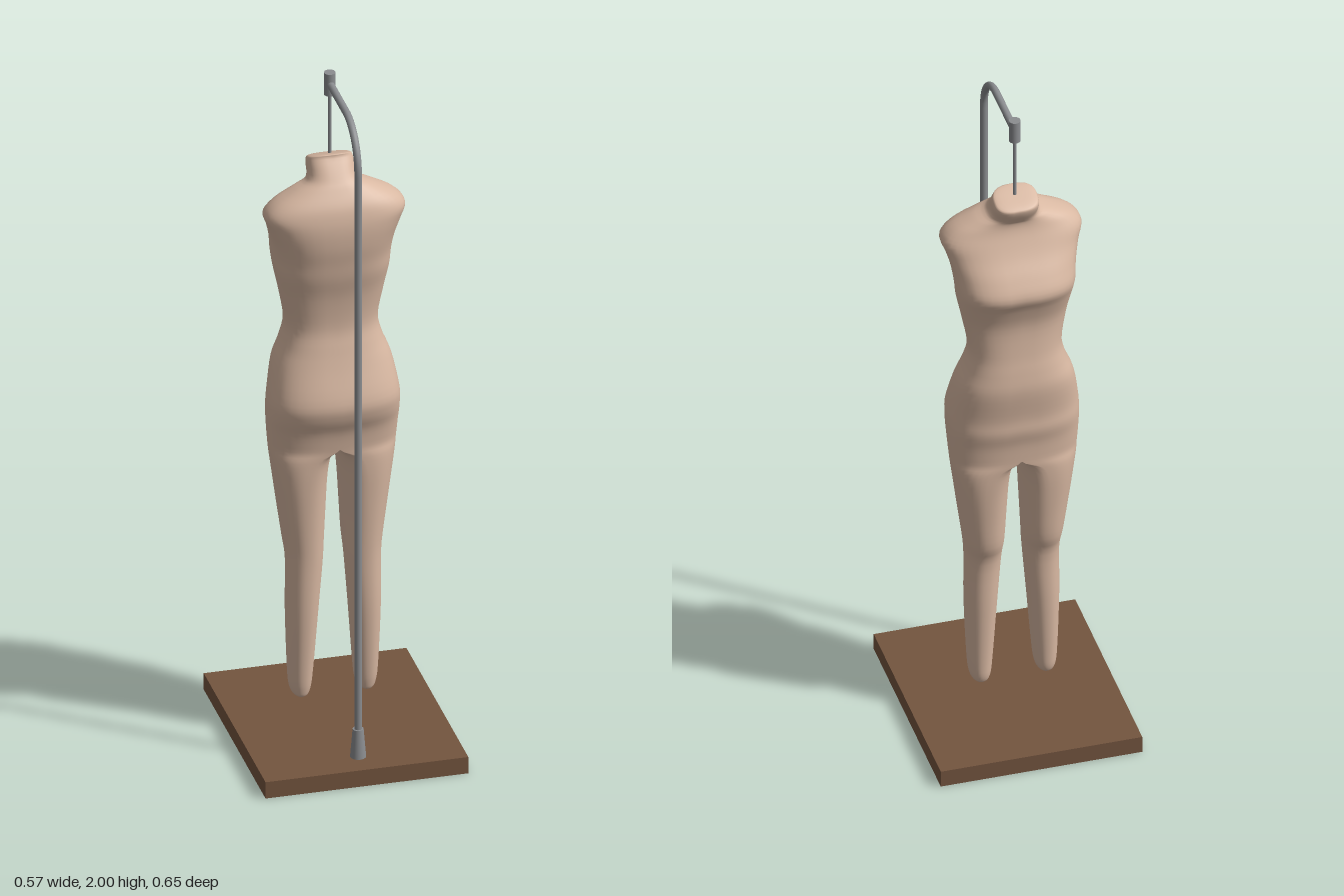
import * as THREE from 'three';
import { mergeVertices } from 'three/addons/utils/BufferGeometryUtils.js';

const skin = new THREE.MeshStandardMaterial({ name: 'skin fabric', color: 0xd8b8a2 });
const wood = new THREE.MeshStandardMaterial({ name: 'brown wood', color: 0x74553f });
const metal = new THREE.MeshStandardMaterial({ name: 'grey metal', color: 0x8b8d90 });

// Leg sections, bottom up: y, outer x, inner x, middle x, front z, back z, squareness
const LEG = [
  [0.118, 0.092, 0.092, 0.092, -0.03, -0.03, 2.2],
  [0.12, 0.108, 0.076, 0.092, -0.055, 0.002, 2.2],
  [0.14, 0.12, 0.064, 0.092, -0.068, 0.012, 2.2],
  [0.2, 0.126, 0.057, 0.092, -0.072, 0.02, 2.2],
  [0.38, 0.132, 0.044, 0.088, -0.079, 0.034, 2.2],
  [0.53, 0.132, 0.032, 0.083, -0.081, 0.038, 2.2],
  [0.6, 0.139, 0.027, 0.083, -0.102, 0.041, 2.2],
  [0.7, 0.153, 0.022, 0.084, -0.112, 0.046, 2.2],
  [0.8, 0.166, 0.017, 0.082, -0.12, 0.051, 2.3],
  [0.86, 0.174, 0.009, 0.062, -0.123, 0.053, 2.4],
];
// Torso sections, crotch up: y, half width, front z, back z, squareness
const TORSO = [
  [0.895, 0.178, -0.125, 0.056, 2.5],
  [0.95, 0.182, -0.129, 0.066, 2.6],
  [1.0, 0.184, -0.139, 0.086, 2.6],
  [1.05, 0.181, -0.139, 0.091, 2.6],
  [1.14, 0.164, -0.15, 0.064, 2.6],
  [1.2, 0.141, -0.145, 0.048, 2.6],
  [1.26, 0.129, -0.136, 0.037, 2.6],
  [1.35, 0.144, -0.132, 0.045, 2.6],
  [1.42, 0.158, -0.151, 0.061, 2.7],
  [1.47, 0.164, -0.171, 0.069, 2.7],
  [1.52, 0.171, -0.15, 0.077, 2.7],
  [1.57, 0.185, -0.118, 0.079, 2.7],
  [1.61, 0.197, -0.097, 0.074, 2.6],
  [1.645, 0.168, -0.083, 0.062, 2.5],
  [1.675, 0.112, -0.081, 0.038, 2.4],
  [1.695, 0.07, -0.088, 0.018, 2.5],
  [1.735, 0.064, -0.106, -0.018, 2.8],
  [1.748, 0.052, -0.101, -0.024, 2.8],
  [1.75, 0, -0.062, -0.062, 2.8],
];

// Smooth interpolation of the section rows
function refine(rows, sub) {
  const out = [];
  const at = (i) => rows[Math.min(Math.max(i, 0), rows.length - 1)];
  for (let i = 0; i < rows.length - 1; i++) {
    for (let s = 0; s < sub; s++) {
      const t = s / sub;
      out.push(rows[i].map((b, k) => {
        const a = at(i - 1)[k], c = at(i + 1)[k], d = at(i + 2)[k];
        return b + 0.5 * t * (c - a + t * (2 * a - 5 * b + 4 * c - d + t * (3 * (b - c) + d - a)));
      }));
    }
  }
  out.push(rows[rows.length - 1]);
  return out;
}

// One skin: two legs that merge into a single torso at the crotch section
function bodyGeometry() {
  const sub = 4, half = 20, ring = half * 2;
  const rows = refine([...LEG, ...TORSO.map(([y, w, f, b, n]) => [y, w, 0, 0, f, b, n])], sub);
  const crotch = LEG.length * sub;
  const pos = [], index = [];
  for (const side of [1, -1]) {
    const start = pos.length / 3;
    for (const [y, xo, xi, xm, zf, zb, n] of rows) {
      const mid = Math.max(xm, 0), inner = Math.max(xi, 0), zc = (zf + zb) / 2;
      const tilt = 0.4 * THREE.MathUtils.smoothstep(y, 1.64, 1.735);
      for (let j = 0; j < ring; j++) {
        const a = (j / ring) * Math.PI * 2;
        const pow = (v) => (Math.abs(v) < 1e-9 ? 0 : Math.sign(v) * Math.abs(v) ** (2 / n));
        const s = pow(Math.sin(a)), z = zc - (zb - zf) / 2 * pow(Math.cos(a));
        const x = mid + s * (s > 0 ? xo - mid : mid - inner);
        pos.push(side * x, y + tilt * (z - zc), z);
      }
    }
    for (let i = 0; i < rows.length - 1; i++) {
      const count = i < crotch ? ring : half;
      for (let j = 0; j < count; j++) {
        const a = start + i * ring + j, b = start + i * ring + (j + 1) % ring;
        const c = a + ring, d = b + ring;
        if (side > 0) index.push(a, c, b, b, c, d);
        else index.push(a, b, c, b, d, c);
      }
    }
  }
  const geo = new THREE.BufferGeometry();
  geo.setAttribute('position', new THREE.Float32BufferAttribute(pos, 3));
  geo.setIndex(index);
  const merged = mergeVertices(geo, 1e-5);
  merged.computeVertexNormals();
  return merged;
}

export function createModel() {
  const group = new THREE.Group();
  const add = (name, geo, mat, x = 0, y = 0, z = 0) => {
    const mesh = new THREE.Mesh(geo, mat);
    mesh.name = name;
    mesh.position.set(x, y, z);
    group.add(mesh);
  };
  const cx = -0.003, poleZ = 0.245, hookZ = -0.055, topY = 1.966, bend = 0.125;

  // Stand
  add('base', new THREE.BoxGeometry(0.57, 0.05, 0.654), wood, 0, 0.025, 0);
  add('poleSocket', new THREE.CylinderGeometry(0.015, 0.022, 0.085, 24), metal, cx, 0.0925, poleZ);

  // Bent pole
  const v = (y, z) => new THREE.Vector3(0, y, z);
  const path = new THREE.CurvePath();
  const k = bend * 0.45;
  path.add(new THREE.LineCurve3(v(0.05, poleZ), v(topY - bend, poleZ)));
  path.add(new THREE.CubicBezierCurve3(
    v(topY - bend, poleZ), v(topY - k, poleZ), v(topY, poleZ - k), v(topY, poleZ - bend)));
  path.add(new THREE.LineCurve3(v(topY, poleZ - bend), v(topY, hookZ)));
  add('pole', new THREE.TubeGeometry(path, 120, 0.0105, 16), metal, cx);

  // Hanging fitting and rod
  add('hangerSleeve', new THREE.CylinderGeometry(0.016, 0.016, 0.067, 24), metal, cx, 1.9665, hookZ);
  add('hangerRod', new THREE.CylinderGeometry(0.005, 0.005, 0.24, 12), metal, cx, 1.84, hookZ);

  // Dress form
  add('body', bodyGeometry(), skin, cx);
  return group;
}
